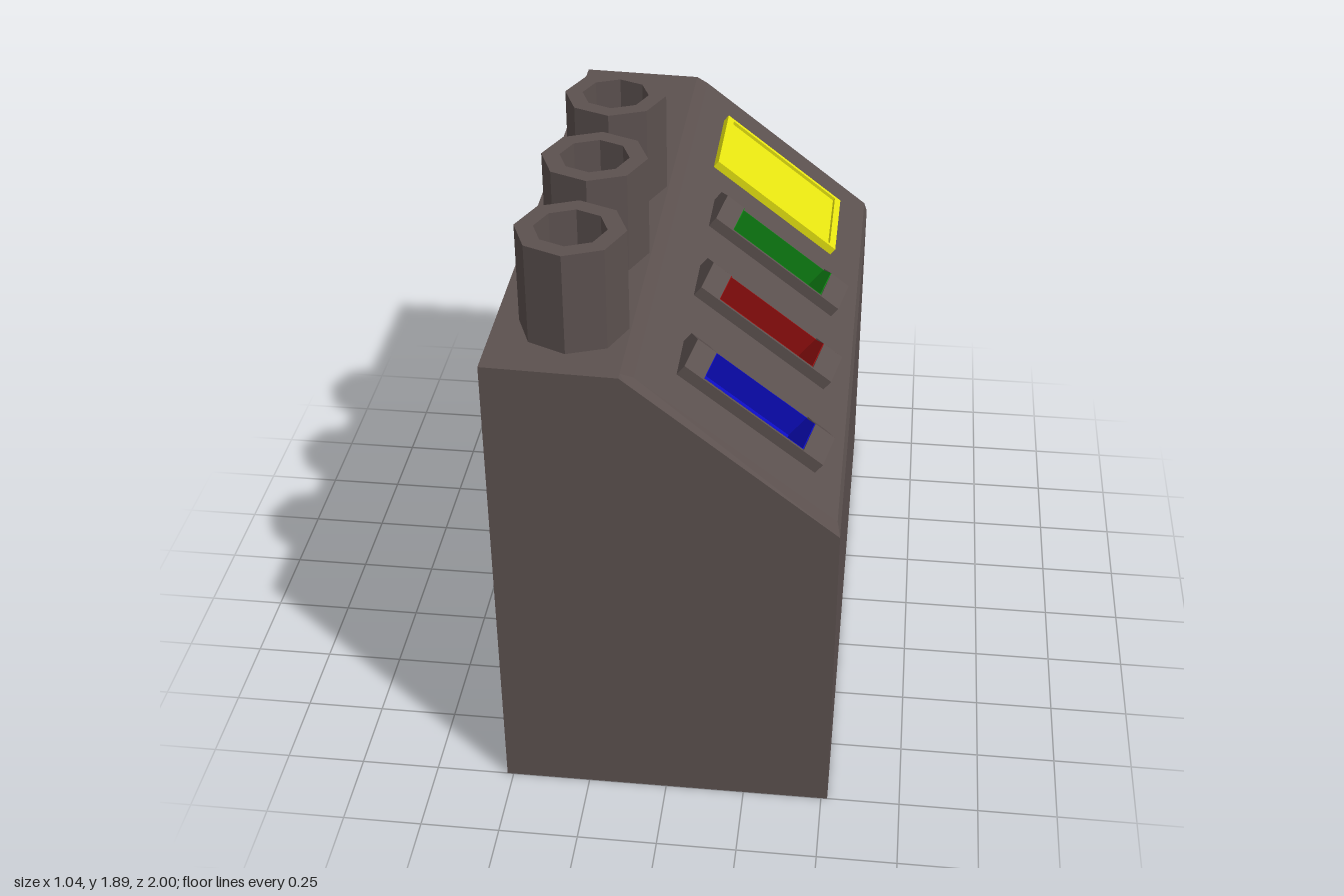
import * as THREE from 'three';

const mat = (color) => new THREE.MeshStandardMaterial({ color, flatShading: true });
const casing = mat(0x5c514f);

function add(parent, name, geometry, material, x = 0, y = 0, z = 0) {
  const mesh = new THREE.Mesh(geometry, material);
  mesh.name = name;
  mesh.position.set(x, y, z);
  parent.add(mesh);
  return mesh;
}

const shapeOf = (pts) => new THREE.Shape(pts.map(([x, y]) => new THREE.Vector2(x, y)));
const rect = (x0, y0, x1, y1) => [[x0, y0], [x1, y0], [x1, y1], [x0, y1]];

// Extrudes an outline drawn in (z, height) along the slope.
const alongSlope = (pts, length) =>
  new THREE.ExtrudeGeometry(shapeOf(pts), { depth: length, bevelEnabled: false }).rotateY(Math.PI / 2);

// Upper and lower ends of the control slope
const A = [-0.08, 1.56], B = [0.51, 1.10];
const slopeLength = Math.hypot(B[0] - A[0], B[1] - A[1]);
const channelZ = [0.735, 0.29, -0.15];

// Casing lofted through four profiles; the slope panel is left open for the slots.
function casingGeometry() {
  const inner = [[-0.52, 0], [0.52, 0], [0.52, 1.07], B, A, [-0.12, 1.57], [-0.52, 1.58]];
  const outer = [[-0.52, 0], [0.52, 0], [0.52, 1.06], [0.51, 1.068], [-0.1, 1.554], [-0.12, 1.57], [-0.52, 1.58]];
  const sections = [[outer, -1], [inner, -0.975], [inner, 0.975], [outer, 1]];
  const n = outer.length, pos = [];
  const put = (k, i) => pos.push(...sections[k][0][i % n], sections[k][1]);
  for (let k = 0; k < 3; k++) {
    for (let i = 0; i < n; i++) {
      if (k === 1 && i === 3) continue;
      put(k + 1, i); put(k, i); put(k, i + 1);
      put(k + 1, i); put(k, i + 1); put(k + 1, i + 1);
    }
  }
  for (let i = 1; i < n - 1; i++) {
    put(3, 0); put(3, i); put(3, i + 1);
    put(0, 0); put(0, i + 1); put(0, i);
  }
  const g = new THREE.BufferGeometry();
  g.setAttribute('position', new THREE.Float32BufferAttribute(pos, 3));
  g.computeVertexNormals();
  return g;
}

// Slope panel with three slots
function slopeGeometry() {
  const shape = shapeOf(rect(0, -0.975, slopeLength, 0.975));
  for (const z of channelZ) shape.holes.push(shapeOf(rect(0.15, -z - 0.085, 0.63, -z + 0.085)));
  return new THREE.ShapeGeometry(shape).rotateX(-Math.PI / 2);
}

// Hexagonal end outline and V-bottomed gutter outline
const hexagon = (w, top, low) =>
  [[0, low], [w, low + 0.035], [w, top - 0.047], [0, top], [-w, top - 0.047], [-w, low + 0.035]];
const gutter = (w, low, t) => [
  [-w, 0.038], [-w, low + 0.035], [0, low], [w, low + 0.035], [w, 0.038],
  [w - t, 0.038], [w - t, low + 0.035 + t], [0, low + t], [-w + t, low + 0.035 + t], [-w + t, 0.038],
];

// Raised channel with coloured lining
function channel(color) {
  const group = new THREE.Group();
  group.name = 'channel';
  const lining = mat(color);
  const start = 0.2, end = 0.575;
  add(group, 'upperEnd', alongSlope(hexagon(0.09, 0.085, -0.1), 0.07), casing, 0.13);
  add(group, 'lowerEnd', alongSlope(hexagon(0.09, 0.085, -0.1), 0.075), casing, end);
  add(group, 'rails', alongSlope(gutter(0.09, -0.095, 0.009), end - start), casing, start);
  add(group, 'lining', alongSlope(gutter(0.082, -0.085, 0.003), end - start), lining, start);
  const endFace = hexagon(0.08, 0.084, -0.083);
  add(group, 'upperLining', alongSlope(endFace, 0.003), lining, start);
  add(group, 'lowerLining', alongSlope(endFace, 0.003), lining, end - 0.003);
  return group;
}

export function createModel() {
  const model = new THREE.Group();
  model.name = 'controlBox';
  add(model, 'casing', casingGeometry(), casing);

  // Everything mounted on the slope: x runs down it, y is its normal
  const slope = new THREE.Group();
  slope.name = 'controlPanel';
  slope.position.set(A[0], A[1], 0);
  slope.rotation.z = Math.atan2(B[1] - A[1], B[0] - A[0]);
  model.add(slope);
  add(slope, 'slopePanel', slopeGeometry(), casing);

  [0x0c0cc0, 0x930f0f, 0x0f8414].forEach((color, i) => {
    const c = channel(color);
    c.position.z = channelZ[i];
    slope.add(c);
  });

  // Screen with a thin raised frame
  const yellow = mat(0xe8e511);
  const frame = shapeOf(rect(0.1, 0.44, 0.62, 0.8));
  frame.holes.push(shapeOf(rect(0.125, 0.455, 0.595, 0.785)));
  add(slope, 'screenFrame',
    new THREE.ExtrudeGeometry(frame, { depth: 0.027, bevelEnabled: false }).rotateX(-Math.PI / 2), yellow);
  add(slope, 'screen', new THREE.BoxGeometry(0.48, 0.015, 0.34), yellow, 0.36, 0.0085, -0.62);

  // Hollow octagonal pipes on top
  const pipe = [[0.163, 1.55], [0.163, 1.895], [0.107, 1.895], [0.107, 1.6]];
  const pipeGeometry = new THREE.LatheGeometry(pipe.map(([x, y]) => new THREE.Vector2(x, y)), 8);
  const bore = new THREE.CircleGeometry(0.108, 8).rotateX(-Math.PI / 2);
  const black = mat(0x0a0a0a);
  for (const z of [0.735, 0.29, -0.148]) {
    add(model, 'pipe', pipeGeometry, casing, -0.288, 0, z);
    add(model, 'pipeBore', bore, black, -0.288, 1.602, z);
  }
  return model;
}
